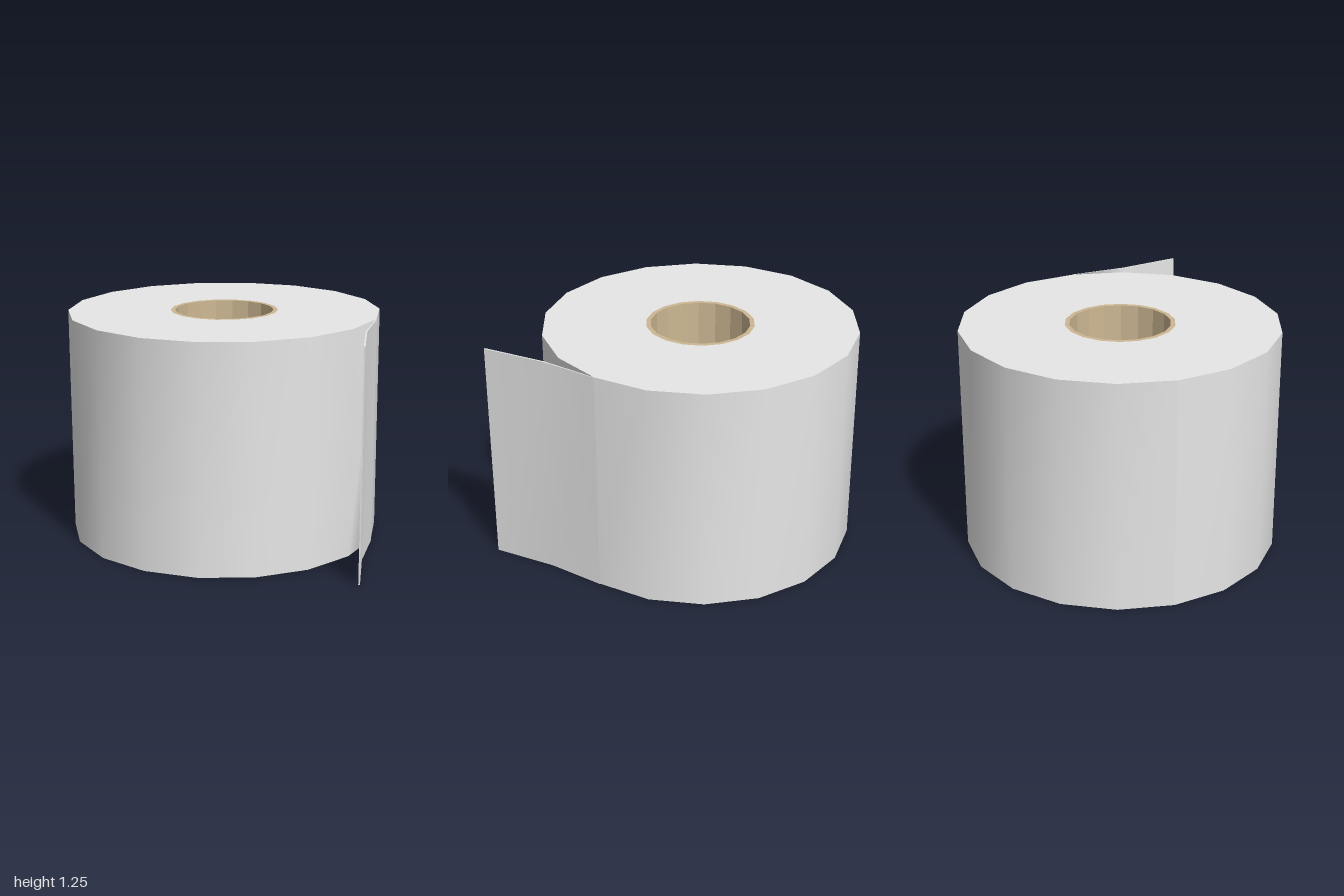
import * as THREE from 'three';

const HEIGHT = 1.246, CENTRE_X = -0.14, SIDES = 18;

// point on the plan (x, z) at an angle in degrees around the roll axis
function ringPoint(radius, degrees) {
  const a = THREE.MathUtils.degToRad(degrees);
  return new THREE.Vector2(CENTRE_X + radius * Math.cos(a), radius * Math.sin(a));
}

// points from one angle down to another, one per side
function arc(radius, from, to) {
  const points = [];
  for (let d = from; d >= to; d -= 360 / SIDES) points.push(ringPoint(radius, d));
  return points;
}

// smooth upright wall along a plan path; paths run with decreasing angle to face outwards
function wallGeometry(path) {
  const positions = [], index = [];
  path.forEach((p, i) => {
    positions.push(p.x, 0, p.y, p.x, HEIGHT, p.y);
    if (i < path.length - 1) {
      const a = i * 2;
      index.push(a, a + 2, a + 3, a, a + 3, a + 1);
    }
  });
  const geometry = new THREE.BufferGeometry();
  geometry.setAttribute('position', new THREE.Float32BufferAttribute(positions, 3));
  geometry.setIndex(index);
  geometry.computeVertexNormals();
  return geometry;
}

// flat face of a plan outline, at the top or the bottom
function capGeometry(outline, holes, top) {
  const flip = (points) => points.map((p) => new THREE.Vector2(p.x, top ? -p.y : p.y));
  const shape = new THREE.Shape(flip(outline));
  holes.forEach((hole) => shape.holes.push(new THREE.Path(flip(hole))));
  const geometry = new THREE.ShapeGeometry(shape);
  geometry.rotateX(top ? -Math.PI / 2 : Math.PI / 2);
  return geometry.translate(0, top ? HEIGHT : 0, 0);
}

export function createModel() {
  const paper = new THREE.MeshStandardMaterial({ color: 0xe7e7e7 });
  paper.name = 'white paper';
  const card = new THREE.MeshStandardMaterial({ color: 0xcdb893 });
  card.name = 'tan cardboard';

  const model = new THREE.Group();
  model.name = 'paperRoll';
  const add = (name, geometry, material) => {
    const mesh = new THREE.Mesh(geometry, material);
    mesh.name = name;
    model.add(mesh);
  };

  // roll ends
  const R = 0.859;
  const rim = arc(R, 340, 0);
  const hole = arc(0.296, 340, 0);
  add('rollTop', capGeometry(rim, [hole], true), paper);
  add('rollBottom', capGeometry(rim, [hole], false), paper);

  // front of the roll, running on into the inside of the loose sheet
  const sheetInner = [
    ringPoint(R, 340), new THREE.Vector2(0.8, 0.004), new THREE.Vector2(0.992, 0.304),
  ];
  add('rollFront', wallGeometry([...arc(R, 160, 0), ...sheetInner]), paper);

  // outermost layer: from the free end around the back of the roll
  const sheetOuter = [
    new THREE.Vector2(1, 0.3), new THREE.Vector2(0.808, 0), new THREE.Vector2(0.674, -0.289),
  ];
  add('outerLayer', wallGeometry([...sheetOuter, ...arc(R, 340, 160)]), paper);

  // end and edges of the loose sheet
  add('sheetEnd', wallGeometry([sheetInner[2], sheetOuter[0]]), paper);
  const sheetOutline = [...sheetOuter, ...sheetInner];
  add('sheetTopEdge', capGeometry(sheetOutline, [], true), paper);
  add('sheetBottomEdge', capGeometry(sheetOutline, [], false), paper);

  // faceted cardboard tube, its bore wound opposite to its outside
  const tube = new THREE.Shape(hole);
  tube.holes.push(new THREE.Path(arc(0.271, 340, 0).reverse()));
  const core = new THREE.ExtrudeGeometry(tube, { depth: HEIGHT, bevelEnabled: false });
  core.rotateX(-Math.PI / 2);
  add('core', core, card);

  return model;
}
